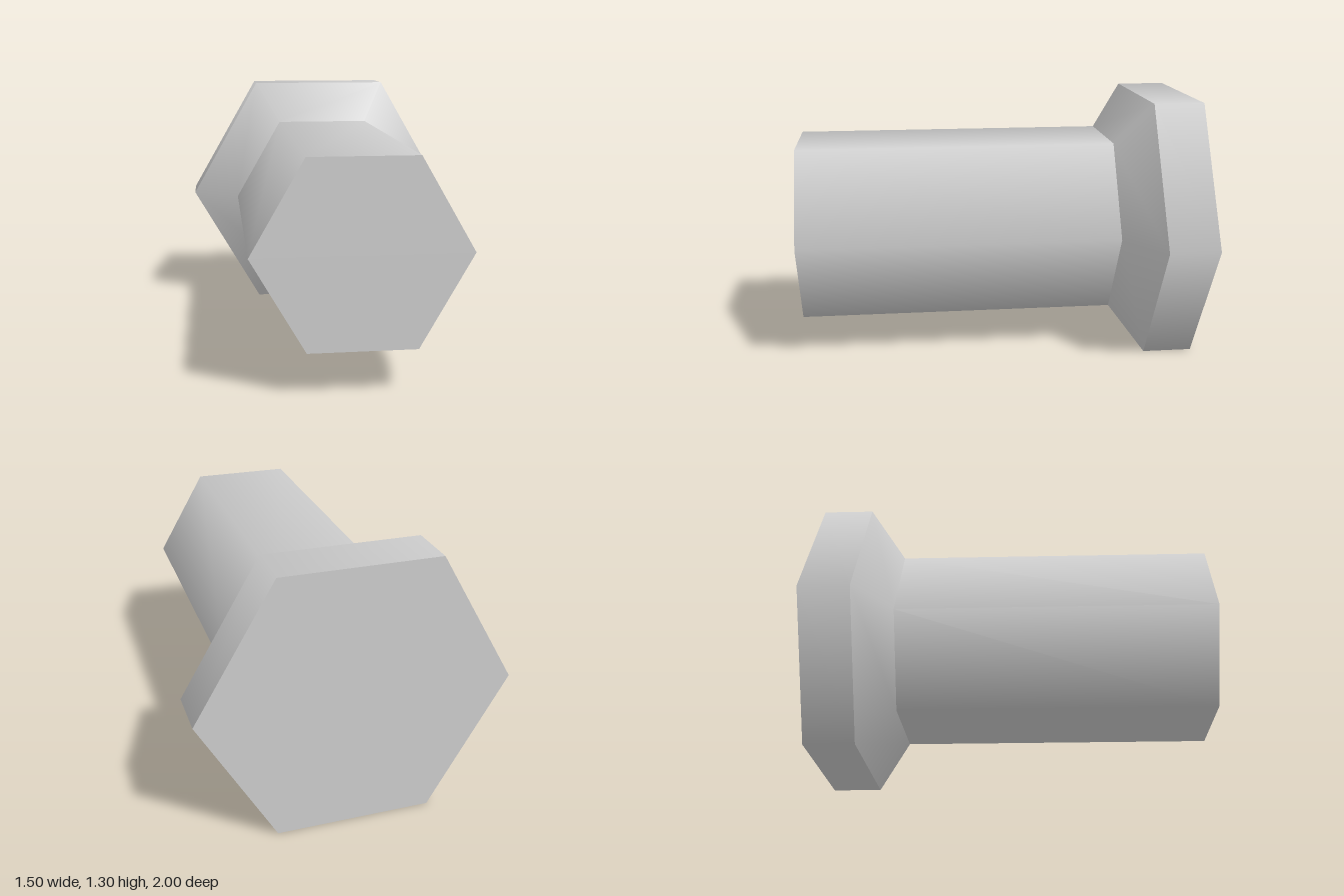
import * as THREE from 'three';

const SIDES = 6;
const AXIS_Y = 0.65; // height of the bolt axis

export function createModel() {
  const group = new THREE.Group();
  group.name = 'hexBolt';
  const steel = new THREE.MeshStandardMaterial({ color: 0xcccccc });
  steel.name = 'light grey';

  const add = (name, geometry, z) => {
    const mesh = new THREE.Mesh(geometry, steel);
    mesh.name = name;
    mesh.position.set(0, AXIS_Y, z);
    group.add(mesh);
    return mesh;
  };

  // Open six-sided sleeve along z, smooth around, with corners on the x axis
  const sleeve = (name, frontRadius, backRadius, frontZ, backZ) => {
    const geometry = new THREE.CylinderGeometry(
      frontRadius, backRadius, frontZ - backZ, SIDES, 1, true, Math.PI / 2);
    geometry.rotateX(Math.PI / 2);
    add(name, geometry, (frontZ + backZ) / 2);
  };

  sleeve('shaft', 0.5, 0.5, 1, -0.583);
  sleeve('headTaper', 0.5, 0.75, -0.583, -0.75);
  sleeve('headRim', 0.75, 0.75, -0.75, -1);

  // Flat end faces
  add('shaftEnd', new THREE.CircleGeometry(0.5, SIDES), 1);
  add('headBack', new THREE.CircleGeometry(0.75, SIDES), -1).rotation.y = Math.PI;

  return group;
}
